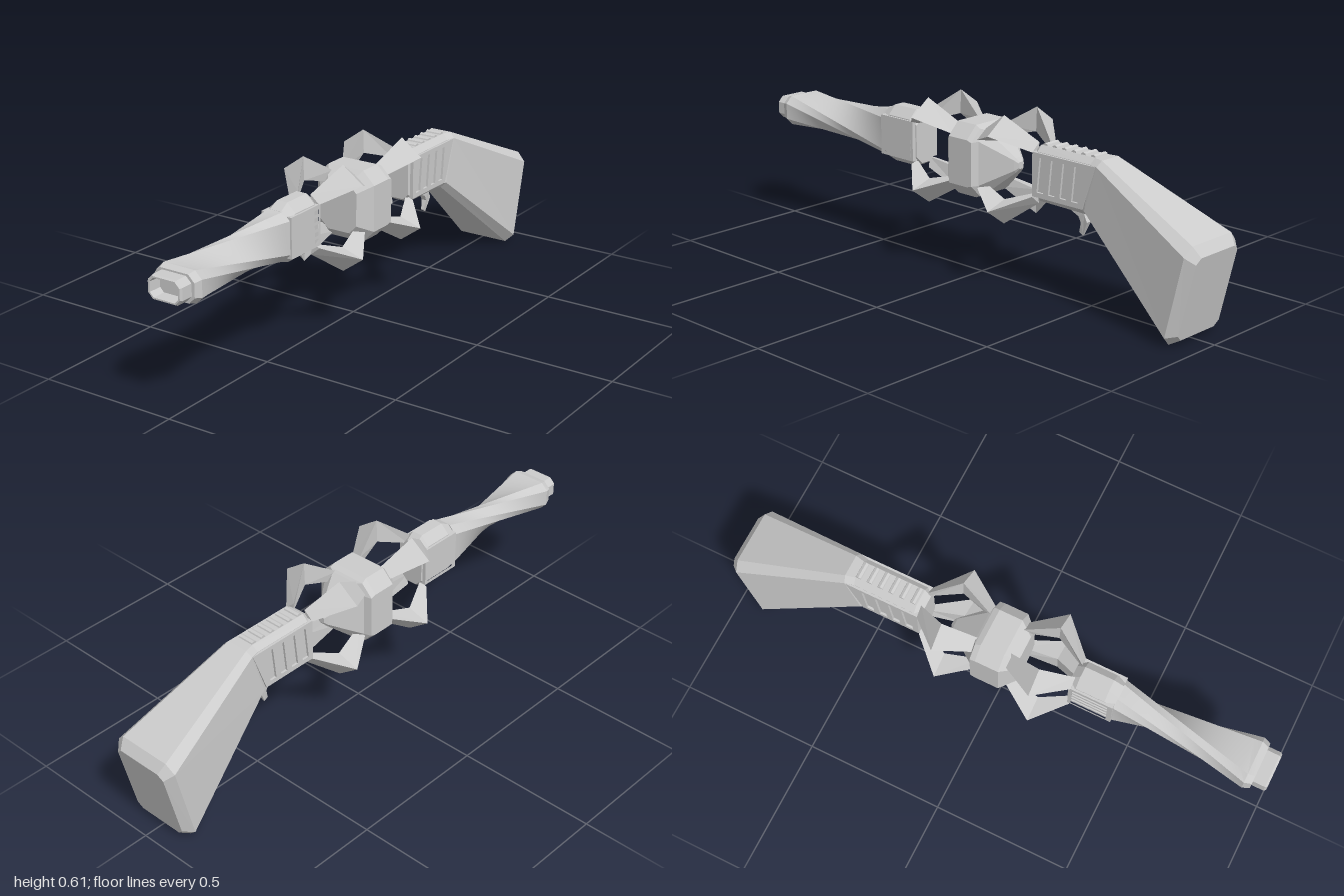
import * as THREE from 'three';
import { toCreasedNormals } from 'three/addons/utils/BufferGeometryUtils.js';

const CY = 0.418; // height of the long axis

// Skin a list of rings (counter-clockwise seen from +z, ordered towards +z).
function loft(rings, flip = false) {
  const pos = [];
  const tri = (a, b, c) => pos.push(...a, ...(flip ? c : b), ...(flip ? b : c));
  const n = rings[0].length, last = rings[rings.length - 1];
  for (let i = 0; i < rings.length - 1; i++) {
    for (let j = 0; j < n; j++) {
      const k = (j + 1) % n;
      const a = rings[i][j], b = rings[i][k], c = rings[i + 1][k], d = rings[i + 1][j];
      tri(a, b, c);
      tri(a, c, d);
    }
  }
  for (let j = 1; j < n - 1; j++) {
    tri(rings[0][0], rings[0][j + 1], rings[0][j]);
    tri(last[0], last[j], last[j + 1]);
  }
  const g = new THREE.BufferGeometry();
  g.setAttribute('position', new THREE.Float32BufferAttribute(pos, 3));
  g.computeVertexNormals();
  return g;
}

// Rectangle with cut corners
const oct = (w, h, c) => [[w, c - h], [w, h - c], [w - c, h], [c - w, h],
  [-w, h - c], [-w, c - h], [c - w, -h], [w - c, -h]];

// Cut-corner section between a bottom and a top point in the z/y plane
function section(w, c, bz, by, tz, ty) {
  const h = Math.hypot(tz - bz, ty - by) / 2;
  return oct(w, h, c).map(([x, y]) => {
    const f = (y + h) / (2 * h);
    return [x, by + (ty - by) * f, bz + (tz - bz) * f];
  });
}
const upright = (w, c, z, bottom, top) => section(w, c, z, bottom, z, top);

export function createModel() {
  const group = new THREE.Group();
  const flat = new THREE.MeshStandardMaterial({ color: 0xcccccc, flatShading: true });
  const smooth = new THREE.MeshStandardMaterial({ color: 0xcccccc });
  const add = (name, geo, mat = flat) => {
    const m = new THREE.Mesh(geo, mat);
    m.name = name;
    group.add(m);
    return m;
  };

  // Side profile in [z, y] extruded across x, with optional slots
  const acrossX = (points, width, slots = []) => {
    const v = (p) => p.map(([z, y]) => new THREE.Vector2(-z, y));
    const shape = new THREE.Shape(v(points));
    slots.forEach((s) => shape.holes.push(new THREE.Path(v(s))));
    const g = new THREE.ExtrudeGeometry(shape, { depth: width, bevelEnabled: false });
    return g.rotateY(Math.PI / 2).translate(-width / 2, 0, 0);
  };

  // Shoulder stock and grip in one bent body
  add('stock', loft([
    section(0.105, 0.02, -0.932, 0.02, -1.0, 0.305),
    section(0.13, 0.032, -0.895, 0, -0.975, 0.34),
    section(0.06, 0.02, -0.505, 0.322, -0.565, 0.517),
    section(0.052, 0.02, -0.492, 0.322, -0.53, 0.518),
    upright(0.052, 0.02, -0.3, 0.325, 0.518),
    upright(0.045, 0.02, -0.275, 0.34, 0.5),
  ]));

  // Grip side plates with slanted slots
  const gripSlots = [];
  for (let i = 0; i < 4; i++) {
    const z = -0.305 - i * 0.05;
    gripSlots.push([[z, 0.362], [z - 0.028, 0.362], [z - 0.04, 0.482], [z - 0.012, 0.482]]);
  }
  add('gripPlates', acrossX(
    [[-0.285, 0.345], [-0.5, 0.345], [-0.555, 0.497], [-0.285, 0.497]], 0.12, gripSlots));

  // Ridges along the top of the grip
  for (let i = 0; i < 6; i++) {
    const ridge = add('gripRidge', new THREE.CylinderGeometry(0.012, 0.012, 0.06, 8));
    ridge.rotation.z = Math.PI / 2;
    ridge.position.set(0, 0.514, -0.315 - i * 0.041);
  }

  // Trigger: hooked blade narrowing to its tip
  const blade = acrossX([[-0.41, 0.33], [-0.415, 0.313], [-0.445, 0.3], [-0.455, 0.28],
    [-0.445, 0.245], [-0.46, 0.235], [-0.482, 0.285], [-0.47, 0.31], [-0.47, 0.33]], 0.022);
  const bp = blade.attributes.position;
  for (let i = 0; i < bp.count; i++) {
    bp.setX(i, bp.getX(i) * THREE.MathUtils.clamp((bp.getY(i) - 0.21) / 0.08, 0.3, 1));
  }
  blade.computeVertexNormals();
  add('trigger', blade);

  // Faceted core with a point towards the rear
  const coreRing = (z, w, h, c) => upright(w, c, z, CY - h, CY + h);
  add('core', loft([
    coreRing(-0.182, 0.012, 0.012, 0.004),
    coreRing(-0.17, 0.022, 0.026, 0.008),
    coreRing(-0.068, 0.088, 0.112, 0.035),
    coreRing(-0.06, 0.115, 0.118, 0.042),
    coreRing(-0.04, 0.115, 0.127, 0.045),
    coreRing(0.045, 0.115, 0.127, 0.045),
    coreRing(0.09, 0.073, 0.088, 0.03),
  ]));

  // Eight bent claws holding the core between both halves
  const clawRings = [
    [[0.045, 0.11, 0.055], [0.05, 0.07, 0.055], [0.085, 0.08, 0.055]],
    [[0.08, 0.187, 0.178], [0.077, 0.102, 0.178], [0.16, 0.129, 0.178]],
    [[0.025, 0.105, 0.285], [0.03, 0.066, 0.285], [0.06, 0.076, 0.285]],
  ];
  for (const sx of [1, -1]) for (const sy of [1, -1]) for (const sz of [1, -1]) {
    const rings = clawRings.map((r) => r.map(([x, y, z]) => [sx * x, CY + sy * y, sz * z]));
    add('claw', loft(rings, sx * sy * sz < 0));
  }

  // Fore block
  add('foreBlock', loft([
    upright(0.046, 0.025, 0.272, 0.34, 0.505),
    upright(0.052, 0.032, 0.3, 0.325, 0.53),
    upright(0.052, 0.032, 0.405, 0.325, 0.53),
    upright(0.052, 0.03, 0.442, 0.337, 0.51),
  ]));

  // Fore block side plates with lengthwise slots
  const foreSlots = [];
  for (let i = 0; i < 5; i++) {
    const y = 0.364 + i * 0.025;
    foreSlots.push([[0.29, y], [0.42, y], [0.42, y + 0.015], [0.29, y + 0.015]]);
  }
  add('forePlates', acrossX(
    [[0.278, 0.352], [0.438, 0.352], [0.438, 0.495], [0.278, 0.495]], 0.12, foreSlots));

  // Barrel: tall section turning a quarter into a wide one along straight lines
  const BY = 0.425;
  const turned = (w, h, c) => oct(h, w, c).map(([x, y]) => [-y, x]);
  const at = (ring, z) => ring.map(([x, y]) => [x, BY + y, z]);
  const from = oct(0.055, 0.085, 0.027), to = turned(0.086, 0.054, 0.025);
  const steps = 16, barrel = [];
  for (let i = 0; i <= steps; i++) {
    const t = i / steps;
    barrel.push(at(from.map(([x, y], j) => [
      x + (to[j][0] - x) * t, y + (to[j][1] - y) * t]), 0.44 + 0.485 * t));
  }
  barrel.push(at(turned(0.077, 0.047, 0.023), 0.95));
  add('barrel', toCreasedNormals(loft(barrel), 0.45), smooth);

  // Muzzle with a recessed mouth
  add('muzzle', loft([
    at(oct(0.066, 0.041, 0.02), 0.94),
    at(oct(0.066, 0.041, 0.02), 0.993),
    at(oct(0.061, 0.037, 0.018), 1.0),
    at(oct(0.055, 0.032, 0.015), 1.0),
    at(oct(0.052, 0.03, 0.014), 0.955),
  ]));

  return group;
}
